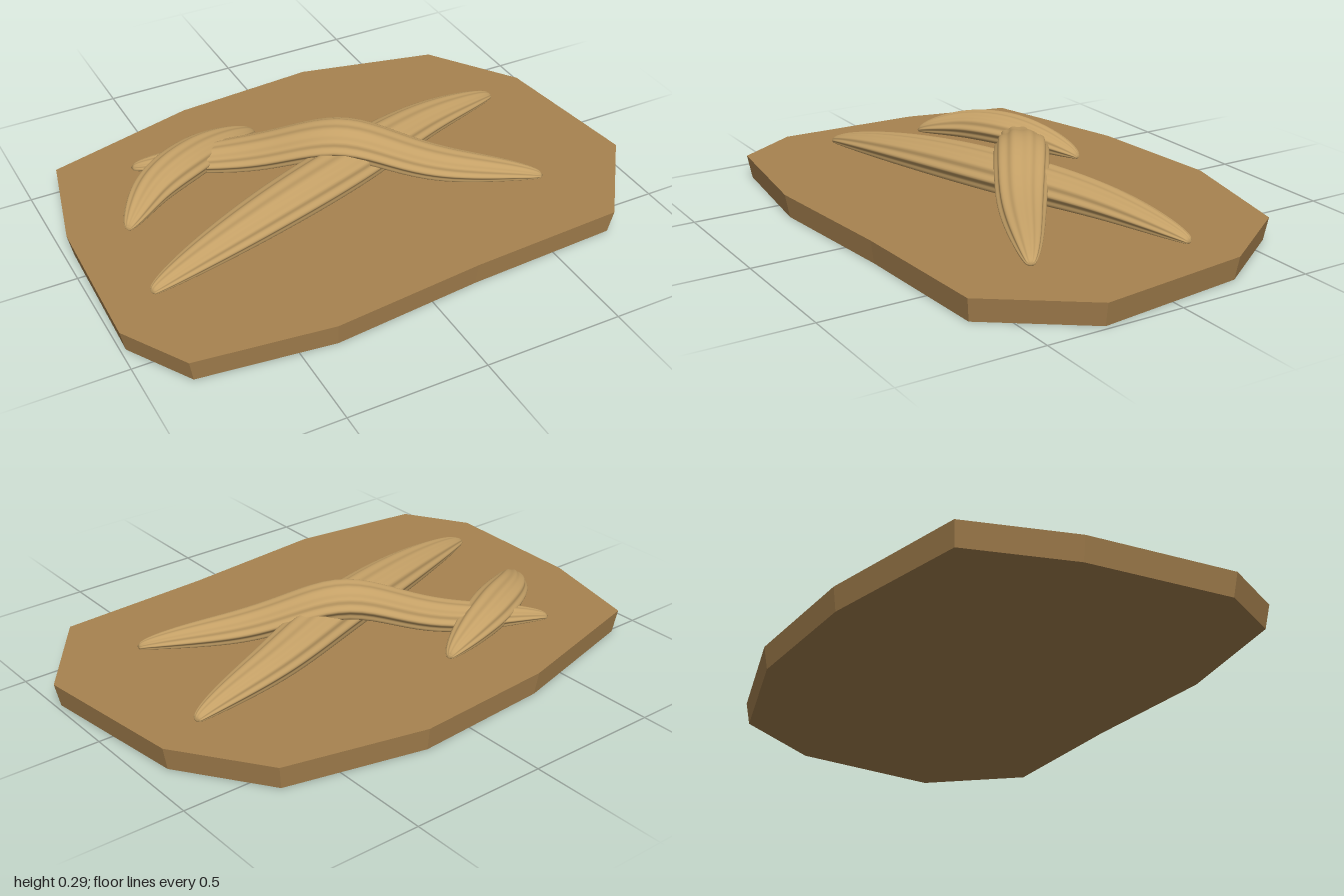
import * as THREE from 'three';

const TOP = 0.084;

// Ridged, tapering pod resting on the slab; path is a list of [x, z] points.
function makePod(name, path, halfWidth, halfHeight, material, lift = () => 0) {
  const curve = new THREE.CatmullRomCurve3(path.map(([x, z]) => new THREE.Vector3(x, 0, z)));
  const rings = 56, sides = 80, ridges = 10;
  const positions = [], indices = [];
  for (let i = 0; i <= rings; i++) {
    const t = (1 - Math.cos((Math.PI * i) / rings)) / 2;
    const p = curve.getPointAt(t), d = curve.getTangentAt(t);
    const taper = 0.14 + 0.86 * Math.pow(Math.max(Math.sin(Math.PI * t), 0), 0.64);
    const cy = TOP + halfHeight * taper * 0.86 + lift(p.x);
    for (let j = 0; j < sides; j++) {
      const a = (j / sides) * Math.PI * 2;
      const r = taper * (0.96 + 0.05 * Math.cos(ridges * a));
      const u = Math.cos(a) * r * halfWidth;
      positions.push(p.x - d.z * u, cy + Math.sin(a) * r * halfHeight, p.z + d.x * u);
    }
  }
  for (let i = 0; i < rings; i++) {
    for (let j = 0; j < sides; j++) {
      const k = (j + 1) % sides;
      const a = i * sides + j, b = i * sides + k, c = a + sides, e = b + sides;
      indices.push(a, c, b, b, c, e);
    }
  }
  // Slightly pointed end caps
  [0, rings].forEach((ring) => {
    const end = ring === 0 ? 0 : 1, p = curve.getPointAt(end), d = curve.getTangentAt(end);
    const s = end ? 0.008 : -0.008;
    const tip = positions.length / 3;
    positions.push(p.x + d.x * s, TOP + halfHeight * 0.14 * 0.86 + lift(p.x), p.z + d.z * s);
    for (let j = 0; j < sides; j++) {
      const a = ring * sides + j, b = ring * sides + ((j + 1) % sides);
      if (end) indices.push(b, a, tip);
      else indices.push(a, b, tip);
    }
  });
  const geometry = new THREE.BufferGeometry();
  geometry.setAttribute('position', new THREE.Float32BufferAttribute(positions, 3));
  geometry.setIndex(indices);
  geometry.computeVertexNormals();
  const mesh = new THREE.Mesh(geometry, material);
  mesh.name = name;
  return mesh;
}

// Irregular slab whose sides lean slightly inwards towards the bottom
function makeSlab(material) {
  const outline = [
    [-0.89, -0.52], [-0.33, -0.67], [0.2, -0.71], [0.71, -0.595], [0.93, -0.28], [1, 0.285],
    [0.75, 0.62], [0.18, 0.65], [-0.375, 0.705], [-0.86, 0.645], [-1, 0.415], [-0.985, -0.13],
  ];
  const shape = new THREE.Shape(outline.map(([x, z]) => new THREE.Vector2(x, -z)));
  const geometry = new THREE.ExtrudeGeometry(shape, { depth: TOP, bevelEnabled: false });
  geometry.rotateX(-Math.PI / 2);
  const pos = geometry.attributes.position;
  for (let i = 0; i < pos.count; i++) {
    if (pos.getY(i) < TOP / 2) {
      pos.setX(i, pos.getX(i) * 0.982);
      pos.setZ(i, pos.getZ(i) * 0.982);
    }
  }
  geometry.computeVertexNormals();
  const mesh = new THREE.Mesh(geometry, material);
  mesh.name = 'slab';
  return mesh;
}

export function createModel() {
  const group = new THREE.Group();
  group.name = 'podsOnSlab';
  const slabMaterial = new THREE.MeshStandardMaterial({ color: 0xa88350, flatShading: true });
  const podMaterial = new THREE.MeshStandardMaterial({ color: 0xc4a066 });

  group.add(makeSlab(slabMaterial));
  group.add(makePod('longPod', [[-0.835, 0.285], [-0.4, 0.15], [0, 0.02], [0.4, -0.125], [0.755, -0.212]],
    0.105, 0.074, podMaterial));
  // This pod arches over the long one
  group.add(makePod('crossingPod', [[-0.64, -0.395], [-0.3, -0.235], [0, -0.05], [0.3, 0.14], [0.64, 0.325]],
    0.098, 0.066, podMaterial, (x) => 0.085 * Math.exp(-(((x - 0.02) / 0.21) ** 2))));
  group.add(makePod('shortPod', [[-0.785, -0.065], [-0.64, -0.195], [-0.45, -0.295], [-0.3, -0.355], [-0.16, -0.405]],
    0.085, 0.063, podMaterial));
  return group;
}
